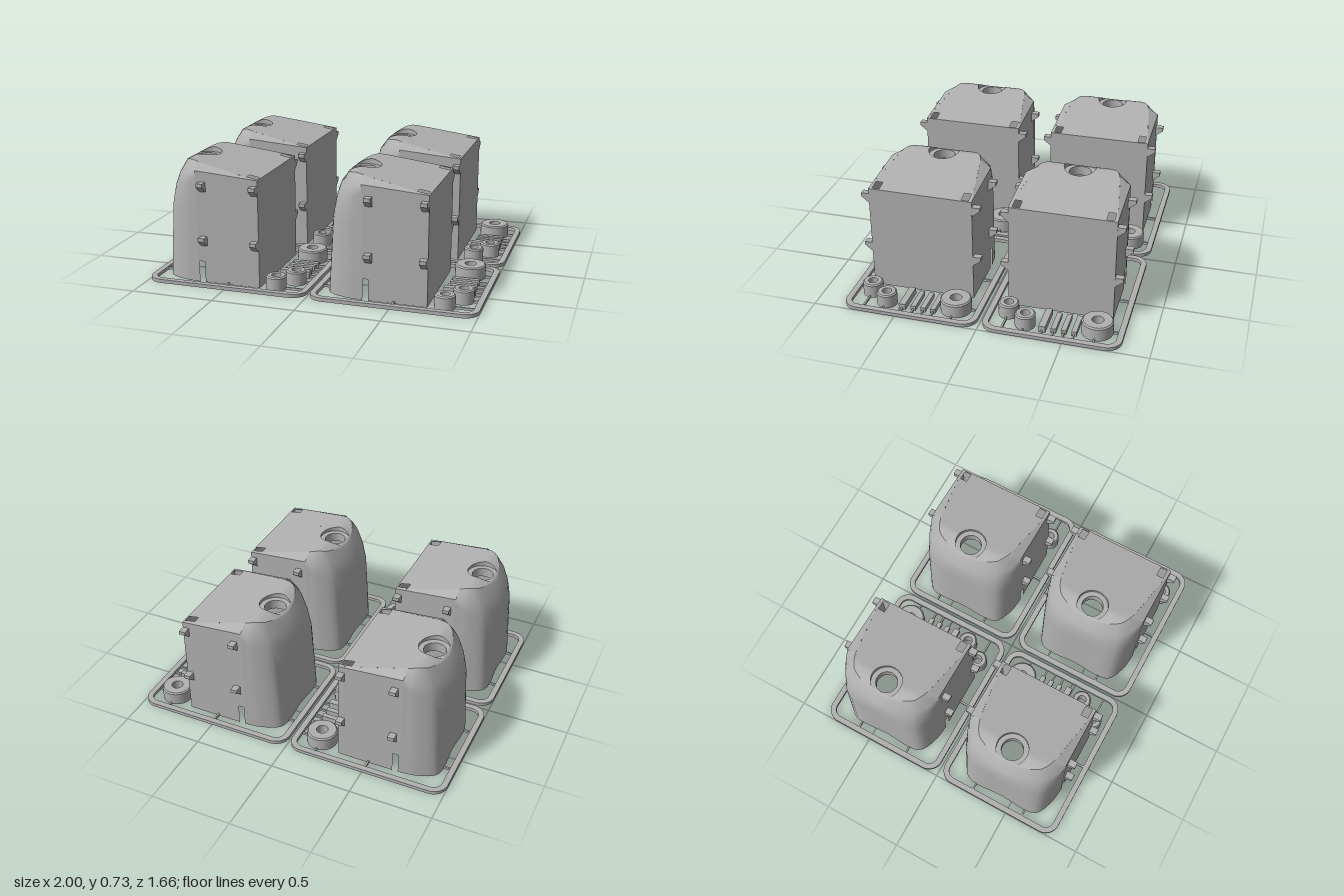
import * as THREE from 'three';

const V = (x, y, z) => new THREE.Vector3(x, y, z);
const plastic = new THREE.MeshStandardMaterial({ color: 0xb0b0b0, side: THREE.DoubleSide });
plastic.name = 'grey plastic';

function add(group, name, geometry, x = 0, y = 0, z = 0) {
  const mesh = new THREE.Mesh(geometry, plastic);
  mesh.name = name;
  mesh.position.set(x, y, z);
  group.add(mesh);
  return mesh;
}

// Skin between rows of points that share the same count
function loft(rows, closed = false) {
  const n = rows[0].length, index = [];
  for (let r = 0; r < rows.length - 1; r++) {
    for (let i = 0; i < (closed ? n : n - 1); i++) {
      const a = r * n + i, b = r * n + (i + 1) % n;
      index.push(a, a + n, b, b, a + n, b + n);
    }
  }
  const g = new THREE.BufferGeometry().setFromPoints(rows.flat());
  g.setIndex(index);
  g.computeVertexNormals();
  return g;
}

const polygon = (pts) => new THREE.Shape(pts.map(([x, y]) => new THREE.Vector2(x, y)));
const rect = (x0, y0, x1, y1) => polygon([[x0, y0], [x1, y0], [x1, y1], [x0, y1]]);

function roundRect(x0, y0, x1, y1, r) {
  const s = new THREE.Shape();
  s.absarc(x1 - r, y1 - r, r, 0, Math.PI / 2);
  s.absarc(x0 + r, y1 - r, r, Math.PI / 2, Math.PI);
  s.absarc(x0 + r, y0 + r, r, Math.PI, Math.PI * 1.5);
  s.absarc(x1 - r, y0 + r, r, Math.PI * 1.5, Math.PI * 2);
  s.closePath();
  return s;
}

// Height of the roof: straight slope behind the crest, rounding off ahead of it
const roofY = (x) => (x > -0.745 ? 0.655 + (-0.31 - x) * 0.172 : 0.73 - 3.6 * (x + 0.745) ** 2);

function hood() {
  const g = new THREE.Group();
  g.name = 'hood';

  // Rounded nose, lofted through horizontal half outlines
  const levels = [
    [[-0.915, 0, 0], [-0.91, 0, 0.24], [-0.8, 0, 0.3], [-0.7, 0, 0.315]],
    [[-0.915, 0.45, 0], [-0.885, 0.45, 0.235], [-0.79, 0.45, 0.3], [-0.7, 0.45, 0.315]],
    [[-0.913, 0.56, 0], [-0.865, 0.565, 0.225], [-0.78, 0.59, 0.295], [-0.7, 0.64, 0.315]],
    [[-0.895, 0.63, 0], [-0.84, 0.64, 0.215], [-0.77, 0.66, 0.285], [-0.7, 0.685, 0.315]],
    [-0.85, -0.8, -0.755, -0.7].map((x, i) => [x, roofY(x), [0, 0.19, 0.228, 0.25][i]]),
  ];
  const rows = levels.map((half) => {
    const right = half.map((p) => V(...p));
    const left = half.slice(1).reverse().map(([x, y, z]) => V(x, y, -z));
    return new THREE.CatmullRomCurve3([...left, ...right]).getPoints(36);
  });
  add(g, 'nose', loft(rows));

  // Front roof, from its outline in to the round recess
  const cx = -0.765;
  const outline = [...rows[4]];
  for (const z of [0.263, 0.16, 0.09, 0.04, 0, -0.04, -0.09, -0.16, -0.263]) outline.push(V(-0.62, roofY(-0.62), z));
  const circle = (r, y) => outline.map((p) => {
    const a = Math.atan2(p.z, p.x - cx);
    const x = Math.max(cx + r * Math.cos(a), -0.835);
    return V(x, y ?? roofY(x), r * Math.sin(a));
  });
  add(g, 'frontRoof', loft([outline, circle(0.095)], true));
  add(g, 'recessWall', loft([circle(0.095), circle(0.095, 0.698)], true));
  add(g, 'recessFloor', loft([circle(0.095, 0.698), circle(0.065, 0.698)], true));
  add(g, 'recessSleeve', loft([circle(0.065, 0.698), circle(0.065, 0.64)], true));

  // Rear roof with two square holes
  const roof = polygon([[-0.62, -0.263], [-0.31, -0.315], [-0.31, 0.315], [-0.62, 0.263]]);
  roof.holes.push(rect(-0.383, 0.25, -0.32, 0.293), rect(-0.383, -0.293, -0.32, -0.25));
  const roofGeo = new THREE.ShapeGeometry(roof);
  const p = roofGeo.attributes.position;
  for (let i = 0; i < p.count; i++) p.setXYZ(i, p.getX(i), roofY(p.getX(i)), p.getY(i));
  roofGeo.computeVertexNormals();
  add(g, 'rearRoof', roofGeo);

  const clip = polygon([[0, -0.06], [0.047, -0.022], [0.047, 0], [0, 0]]);
  for (const s of [-1, 1]) {
    // Side wall with a slot at its foot, and the tapering chamfer above it
    const wall = polygon([[-0.7, 0], [-0.69, 0], [-0.69, 0.13], [-0.655, 0.13], [-0.655, 0],
      [-0.31, 0], [-0.31, 0.655], [-0.7, 0.685]]);
    add(g, 'sideWall', new THREE.ShapeGeometry(wall), 0, 0, s * 0.315);
    const edge = new THREE.BufferGeometry().setFromPoints(
      [V(-0.7, 0.685, s * 0.315), V(-0.31, 0.655, s * 0.315), V(-0.7, roofY(-0.7), s * 0.25)]);
    edge.computeVertexNormals();
    add(g, 'roofChamfer', edge);
    // Wedge clips
    for (const x of [-0.655, -0.331]) {
      for (const y of [0.62, 0.288]) {
        const geo = new THREE.ExtrudeGeometry(clip, { depth: 0.04, bevelEnabled: false });
        geo.translate(0, 0, -0.02);
        const m = add(g, 'clip', geo, x, y, s * 0.315);
        m.rotation.y = -s * Math.PI / 2;
      }
    }
  }
  const back = add(g, 'backWall', new THREE.PlaneGeometry(0.63, 0.655), -0.31, 0.3275, 0);
  back.rotation.y = Math.PI / 2;
  return g;
}

// Washer-like ring with a softened top edge
function ring(group, name, x, z, outer, inner, h) {
  const b = 0.008;
  const profile = [[inner, 0], [outer, 0], [outer, h - b], [outer - b, h], [inner, h], [inner, 0]];
  const geo = new THREE.LatheGeometry(profile.map(([r, y]) => new THREE.Vector2(r, y)), 40);
  const flat = geo.toNonIndexed();
  flat.computeVertexNormals();
  add(group, name, flat, x, 0, z);
}

function box(group, name, x0, x1, z0, z1, h) {
  add(group, name, new THREE.BoxGeometry(x1 - x0, h, z1 - z0), (x0 + x1) / 2, h / 2, (z0 + z1) / 2);
}

function sprue() {
  const g = new THREE.Group();
  g.name = 'sprue';

  // Flat rounded frame
  const shape = roundRect(-1, -0.4075, -0.01, 0.4075, 0.09);
  shape.holes.push(roundRect(-0.965, -0.3725, -0.045, 0.3725, 0.055));
  const frame = new THREE.ExtrudeGeometry(shape, { depth: 0.022, bevelEnabled: false, curveSegments: 10 });
  frame.rotateX(-Math.PI / 2);
  add(g, 'frame', frame);
  g.add(hood());

  // Runners joining the hood to the frame
  for (const s of [-1, 1]) {
    box(g, 'runner', -0.97, -0.905, s * 0.175 - 0.005, s * 0.175 + 0.005, 0.015);
    box(g, 'runner', -0.51, -0.498, s * 0.345 - 0.035, s * 0.345 + 0.035, 0.015);
  }

  // Loose rings and their runners
  ring(g, 'largeRing', -0.175, -0.25, 0.092, 0.035, 0.085);
  ring(g, 'smallRing', -0.133, 0.165, 0.06, 0.028, 0.085);
  ring(g, 'smallRing', -0.215, 0.285, 0.06, 0.028, 0.085);
  for (const [x, z] of [[-0.09, -0.25], [-0.08, 0.165], [-0.16, 0.285]]) {
    box(g, 'runner', x, -0.04, z - 0.005, z + 0.005, 0.015);
  }
  box(g, 'runner', -0.185, -0.175, -0.38, -0.335, 0.015);

  // Loose bars, the last one bigger
  [-0.13, -0.07, -0.01, 0.055].forEach((z, i) => {
    const e = i === 3 ? 0.01 : 0;
    box(g, 'bar', -0.26 - e, -0.095 + e, z - 0.015 - e / 2, z + 0.015 + e / 2, 0.03 + e);
    box(g, 'runner', -0.095, -0.04, z - 0.005, z + 0.005, 0.015);
  });
  return g;
}

export function createModel() {
  const model = new THREE.Group();
  model.name = 'partsSheet';
  const unit = sprue();
  for (const x of [0, 1.01]) {
    for (const z of [-0.4225, 0.4225]) {
      const copy = unit.clone();
      copy.position.set(x, 0, z);
      model.add(copy);
    }
  }
  return model;
}
